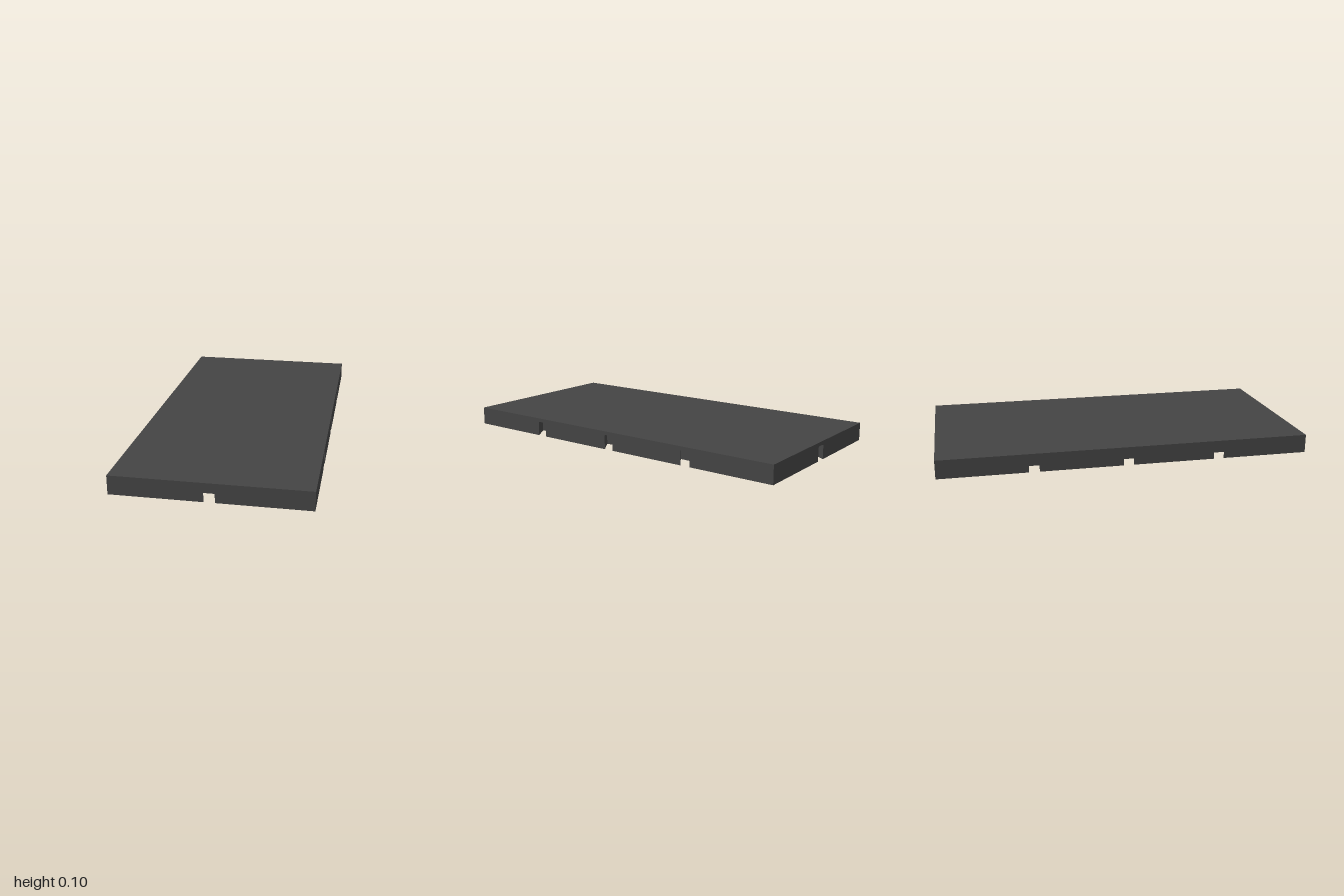
import * as THREE from 'three';
import { mergeGeometries } from 'three/addons/utils/BufferGeometryUtils.js';

const W = 1, L = 2, H = 0.1;             // slab size
const MOUTH = 0.0275, INNER = 0.09;      // half widths of a dovetail socket
const DEPTH = 0.093, ROOF = 0.08, EASE = 0.005;

// Plan of one socket in its side's frame (mouth on z = 0, cut towards -z)
const socketPlan = (inset = 0) => [
  [-MOUTH + inset, 0], [-INNER + inset, -DEPTH], [INNER - inset, -DEPTH], [MOUTH - inset, 0],
];

// Upright face of one side with the socket mouths cut from its lower edge
function sideFace(length, centres) {
  const s = new THREE.Shape();
  s.moveTo(-length / 2, H);
  s.lineTo(-length / 2, 0);
  for (const c of centres) {
    s.lineTo(c - MOUTH, 0);
    s.lineTo(c - MOUTH, ROOF - EASE);
    s.lineTo(c - MOUTH + EASE, ROOF);
    s.lineTo(c + MOUTH - EASE, ROOF);
    s.lineTo(c + MOUTH, ROOF - EASE);
    s.lineTo(c + MOUTH, 0);
  }
  s.lineTo(length / 2, 0);
  s.lineTo(length / 2, H);
  return new THREE.ShapeGeometry(s);
}

// Inner walls and roof of a socket, lofted through three levels
function socketCavity(c) {
  const levels = [[0, 0], [ROOF - EASE, 0], [ROOF, EASE]].map(([y, inset]) =>
    socketPlan(inset).map(([x, z]) => [x + c, y, z]));
  const pos = [];
  const quad = (a, b, d, e) => pos.push(...a, ...b, ...d, ...a, ...d, ...e);
  for (let j = 0; j < 2; j++) {
    for (let i = 0; i < 3; i++) {
      quad(levels[j][i], levels[j][i + 1], levels[j + 1][i + 1], levels[j + 1][i]);
    }
  }
  quad(...levels[2]);
  const g = new THREE.BufferGeometry();
  g.setAttribute('position', new THREE.Float32BufferAttribute(pos, 3));
  return g;
}

export function createModel() {
  const parts = [new THREE.PlaneGeometry(W, L).rotateX(-Math.PI / 2).translate(0, H, 0)];
  const outline = [];

  // Four sides: one socket on each short side, three on each long side
  for (let k = 0; k < 4; k++) {
    const long = k % 2 === 1;
    const length = long ? L : W;
    const centres = long ? [-0.5, 0, 0.5] : [0];
    const place = new THREE.Matrix4().makeRotationY(k * Math.PI / 2)
      .multiply(new THREE.Matrix4().makeTranslation(0, 0, (long ? W : L) / 2));

    parts.push(sideFace(length, centres).applyMatrix4(place));
    for (const c of centres) parts.push(socketCavity(c).applyMatrix4(place));

    const edge = [[-length / 2, 0]];
    for (const c of centres) edge.push(...socketPlan().map(([x, z]) => [x + c, z]));
    for (const [x, z] of edge) {
      const p = new THREE.Vector3(x, 0, z).applyMatrix4(place);
      outline.push(new THREE.Vector2(p.x, p.z));
    }
  }

  // Underside with the dovetail plans cut out
  parts.push(new THREE.ShapeGeometry(new THREE.Shape(outline)).rotateX(Math.PI / 2));

  const geometry = mergeGeometries(parts.map((p) => {
    const g = p.index ? p.toNonIndexed() : p;
    g.deleteAttribute('uv');
    g.deleteAttribute('normal');
    return g;
  }));
  geometry.computeVertexNormals();

  const slab = new THREE.Mesh(geometry,
    new THREE.MeshStandardMaterial({ color: 0x444444 }));
  slab.name = 'slabWithDovetailSockets';

  const group = new THREE.Group();
  group.name = 'floorTile';
  group.add(slab);
  return group;
}
